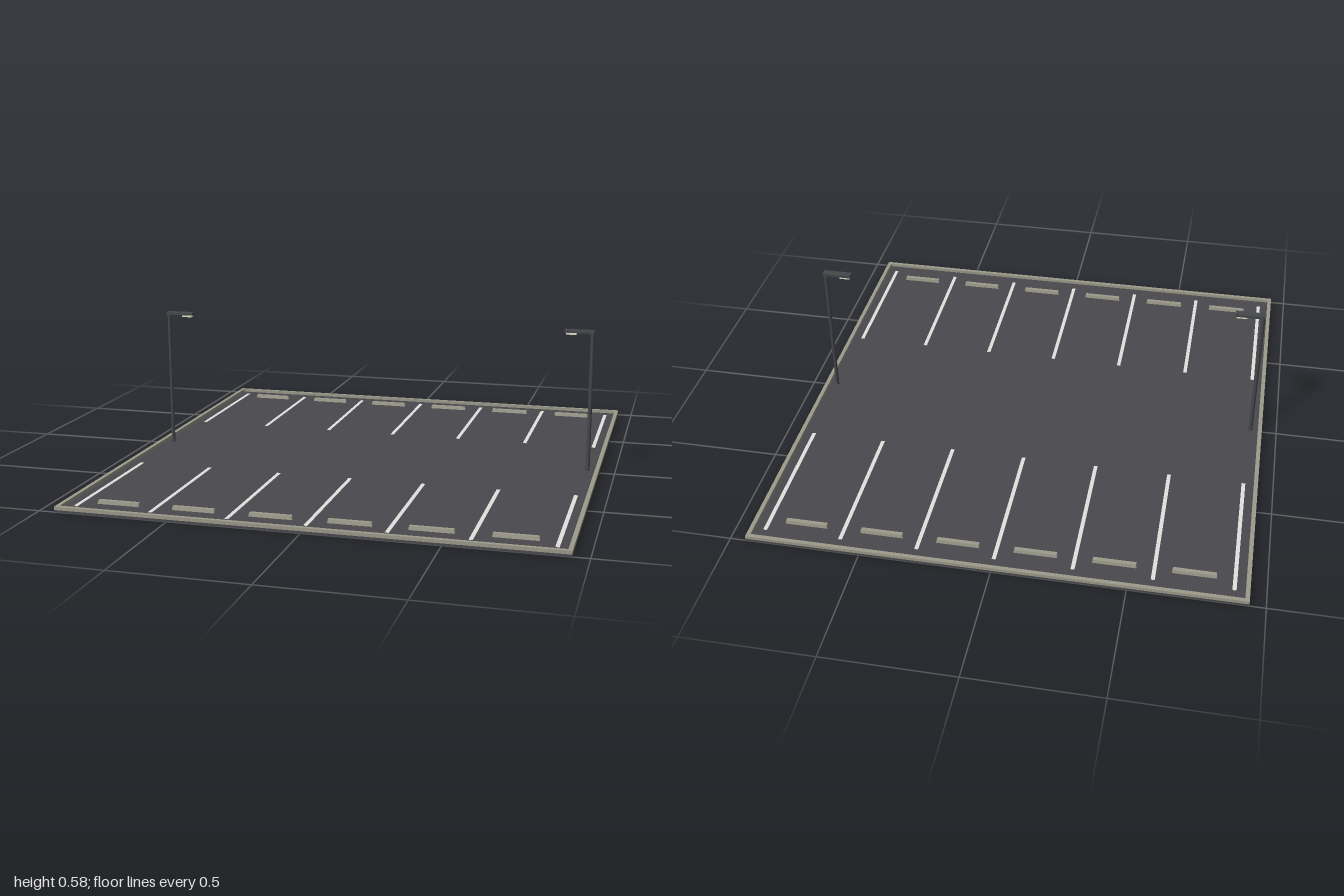
import * as THREE from 'three';

export function createModel() {
  const model = new THREE.Group();
  const mat = (name, color) => {
    const m = new THREE.MeshStandardMaterial({ color });
    m.name = name;
    return m;
  };
  const asphalt = mat('asphalt', 0x4a494e);
  const concrete = mat('concrete', 0x9c9b8b);
  const paint = mat('line paint', 0xe2e2de);
  const metal = mat('dark metal', 0x45484b);
  const lens = mat('lamp lens', 0xf2eed8);

  const add = (parent, name, geometry, material, x, y, z) => {
    const mesh = new THREE.Mesh(geometry, material);
    mesh.name = name;
    mesh.position.set(x, y, z);
    parent.add(mesh);
    return mesh;
  };
  const box = (w, h, d) => new THREE.BoxGeometry(w, h, d);

  const W = 1.88, D = 2, ground = 0.008, curbTop = 0.021, curbWidth = 0.016;
  add(model, 'pavement', box(W, ground, D), asphalt, 0, ground / 2, 0);

  // Perimeter curb: one frame around the lot
  const rect = (Path, hw, hd) => new Path([[-hw, -hd], [hw, -hd], [hw, hd], [-hw, hd]]
    .map(([x, y]) => new THREE.Vector2(x, y)));
  const frame = rect(THREE.Shape, W / 2, D / 2);
  frame.holes.push(rect(THREE.Path, W / 2 - curbWidth, D / 2 - curbWidth));
  const curb = new THREE.ExtrudeGeometry(frame, { depth: curbTop - ground, bevelEnabled: false });
  curb.rotateX(-Math.PI / 2);
  add(model, 'curb', curb, concrete, 0, ground, 0);

  // Wheel stop with a slightly narrower top
  const stop = box(0.165, 0.014, 0.02);
  const p = stop.attributes.position;
  for (let i = 0; i < p.count; i++) {
    if (p.getY(i) > 0) p.setXYZ(i, p.getX(i) * 0.97, p.getY(i), p.getZ(i) * 0.8);
  }
  stop.computeVertexNormals();

  // Two rows of six bays
  const bay = 0.2945;
  for (const side of [-1, 1]) {
    for (let i = -3; i <= 3; i++) {
      add(model, 'bayLine', box(0.015, 0.002, 0.59), paint, i * bay, ground + 0.001, side * 0.645);
      if (i < 3) add(model, 'wheelStop', stop, concrete, (i + 0.5) * bay, ground + 0.007, side * 0.883);
    }
  }

  // A lamp post on each side, its arm reaching inwards
  for (const side of [-1, 1]) {
    const lamp = new THREE.Group();
    lamp.name = side > 0 ? 'leftLampPost' : 'rightLampPost';
    const pole = new THREE.CylinderGeometry(0.008, 0.008, 0.57 - ground, 8);
    add(lamp, 'pole', pole, metal, side * 0.893, (0.57 + ground) / 2, 0);
    add(lamp, 'arm', box(0.117, 0.011, 0.028), metal, side * 0.8425, 0.5735, 0);
    add(lamp, 'lens', box(0.042, 0.008, 0.022), lens, side * 0.81, 0.564, 0);
    model.add(lamp);
  }
  return model;
}
